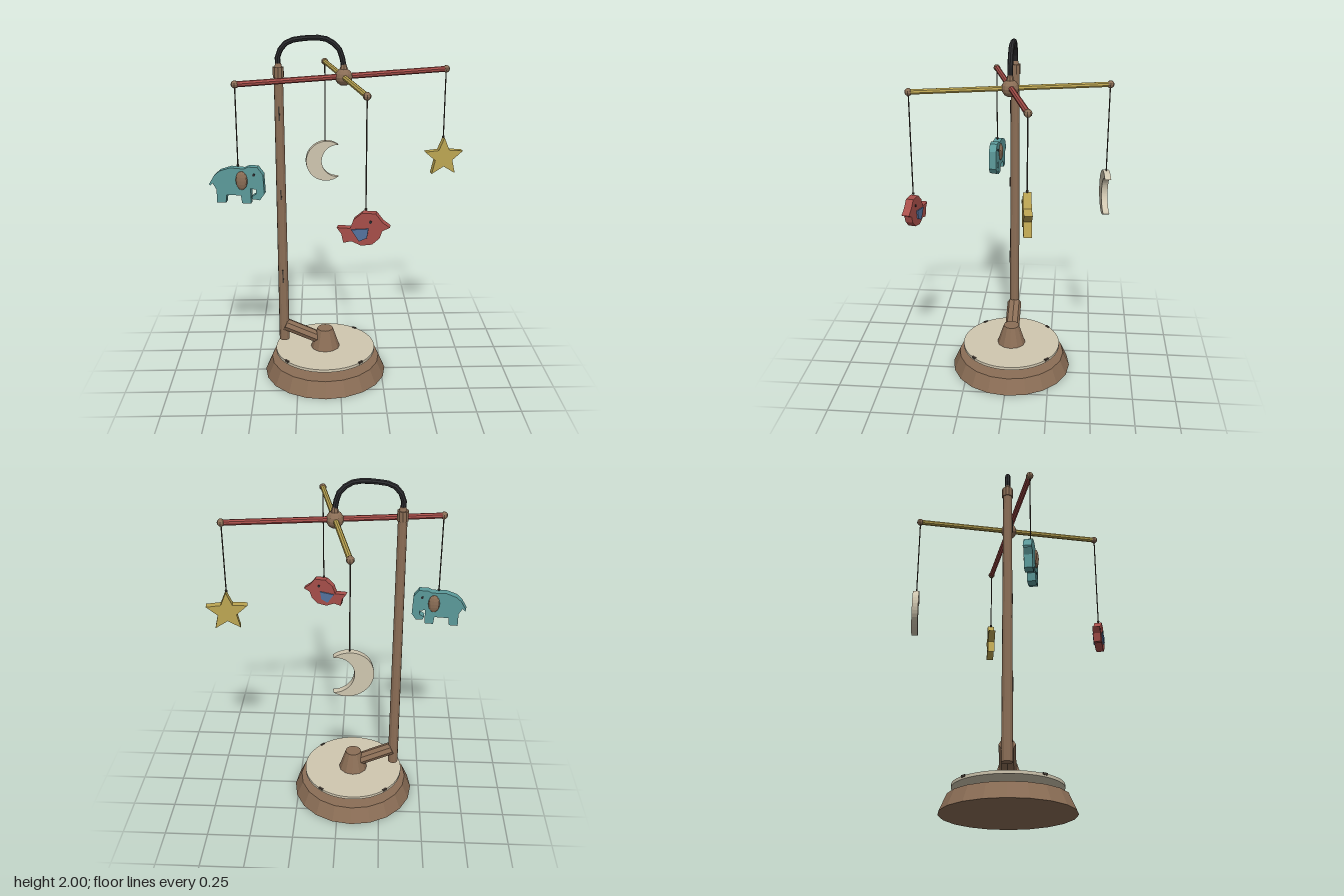
import * as THREE from 'three';

const mat = (name, color) => {
  const m = new THREE.MeshStandardMaterial({ color });
  m.name = name;
  return m;
};
const V = (x, y, z) => new THREE.Vector3(x, y, z);

export function createModel() {
  const model = new THREE.Group();
  model.name = 'hangingMobile';
  const wood = mat('wood', 0x8b6e56);
  const cream = mat('cream', 0xd0c7b0);
  const black = mat('black', 0x2b2b2e);
  const red = mat('red', 0xa84f4a);
  const yellow = mat('yellow', 0xbda653);
  const teal = mat('teal', 0x5c9b9b);
  const blue = mat('blue', 0x54739f);
  const thread = mat('thread', 0x443c34);

  // Faceted mesh with hard edges
  const add = (name, geo, material, parent = model) => {
    const g = geo.index ? geo.toNonIndexed() : geo;
    g.computeVertexNormals();
    const mesh = new THREE.Mesh(g, material);
    mesh.name = name;
    parent.add(mesh);
    return mesh;
  };
  // Upright tapered post from y0 to y1
  const post = (name, r0, r1, y0, y1, sides, material, x, z) =>
    add(name, new THREE.CylinderGeometry(r1, r0, y1 - y0, sides), material).position.set(x, (y0 + y1) / 2, z);
  // Rod between two points
  const rod = (name, a, b, r, sides, material) => {
    const m = add(name, new THREE.CylinderGeometry(r, r, a.distanceTo(b), sides), material);
    m.position.copy(a).lerp(b, 0.5);
    m.quaternion.setFromUnitVectors(V(0, 1, 0), b.clone().sub(a).normalize());
    return m;
  };
  const ball = (name, p, r, material, w = 10, h = 7) =>
    add(name, new THREE.SphereGeometry(r, w, h), material).position.copy(p);

  const Z = -0.012, BX = -0.087, PX = -0.332, HX = 0.022;

  // Base, floating disc and socket
  post('base', 0.362, 0.322, 0, 0.09, 20, wood, BX, Z);
  post('disc', 0.296, 0.296, 0.135, 0.152, 48, cream, BX, Z);
  post('socket', 0.086, 0.047, 0.152, 0.27, 12, wood, BX, Z);
  for (const a of [0.8, 2.45, 3.98, 5.4]) {
    const peg = add('discPeg', new THREE.BoxGeometry(0.012, 0.012, 0.03), thread);
    peg.position.set(BX + 0.292 * Math.cos(a), 0.15, Z + 0.292 * Math.sin(a));
    peg.rotation.y = -a;
  }

  // Sloping arm to the pole
  rod('arm', V(-0.325, 0.3, Z), V(-0.125, 0.208, Z), 0.035, 8, wood).scale.z = 1.25;

  // Pole, collar and inlaid marks
  post('pole', 0.03, 0.025, 0.205, 1.79, 12, wood, PX, Z);
  post('collar', 0.031, 0.031, 1.78, 1.835, 10, wood, PX, Z);
  post('collarTip', 0.022, 0.016, 1.835, 1.855, 10, wood, PX, Z);
  for (const [y, h] of [[1.585, 0.08], [1.12, 0.06], [0.62, 0.08]])
    add('poleMark', new THREE.BoxGeometry(0.008, h, 0.006), thread).position.set(PX, y, Z + 0.028);

  // Curved hook
  const hook = new THREE.CatmullRomCurve3([
    [PX, 1.84], [PX, 1.9], [-0.285, 1.965], [-0.2, 1.986], [-0.07, 1.982], [0.0, 1.925], [HX, 1.84],
  ].map(([x, y]) => V(x, y, Z)));
  add('hook', new THREE.TubeGeometry(hook, 12, 0.015, 8), black);

  // Hub and crossed bars
  post('hubTip', 0.026, 0.014, 1.81, 1.85, 8, wood, HX, Z);
  ball('hub', V(HX, 1.78, Z), 0.048, wood, 12, 8);
  const ends = {
    elephant: V(-0.557, 1.763, 0.115), star: V(0.599, 1.802, -0.142),
    moon: V(-0.077, 1.788, -0.546), bird: V(0.119, 1.772, 0.519),
  };
  rod('redBar', ends.elephant, ends.star, 0.016, 8, red);
  rod('yellowBar', ends.moon, ends.bird, 0.015, 8, yellow);

  // Hanging string with an ornament group at its lower end
  const hang = (name, bottom, turn) => {
    const top = ends[name], low = V(top.x, bottom, top.z);
    ball('barTip', top, 0.021, wood, 8, 6);
    rod('string', top, low, 0.0035, 5, thread);
    ball('bead', low.clone().add(V(0, 0.005, 0)), 0.008, thread, 6, 4);
    const g = new THREE.Group();
    g.name = name;
    g.position.copy(low);
    g.rotation.y = turn;
    model.add(g);
    return g;
  };
  const shapeOf = pts => new THREE.Shape(pts.map(([x, y]) => new THREE.Vector2(x, y)));
  const slab = (name, shape, depth, material, parent, z = 0) =>
    add(name, new THREE.ExtrudeGeometry(shape, { depth, bevelEnabled: false, curveSegments: 14 })
      .translate(0, 0, z - depth / 2), material, parent);
  const eyes = (x, y, half, parent) => {
    for (const s of [-1, 1]) {
      const e = add('eye', new THREE.CylinderGeometry(0.008, 0.008, 0.006, 8), black, parent);
      e.rotation.x = Math.PI / 2;
      e.position.set(x, y, s * half);
    }
  };

  // Elephant with an ear on each side
  const elephant = hang('elephant', 1.318, -0.12);
  slab('elephantBody', shapeOf([
    [-0.16, -0.1], [-0.13, -0.05], [-0.1, -0.025], [-0.04, -0.005], [0.035, -0.01], [0.06, 0.002],
    [0.11, 0], [0.14, -0.04], [0.145, -0.15], [0.12, -0.185], [0.08, -0.18], [0.075, -0.165],
    [0.1, -0.15], [0.1, -0.125], [0.07, -0.12], [0.07, -0.205], [0.02, -0.205], [0.015, -0.16],
    [-0.065, -0.16], [-0.07, -0.205], [-0.12, -0.205], [-0.12, -0.13], [-0.14, -0.095], [-0.155, -0.11],
  ]), 0.045, teal, elephant);
  for (const s of [-1, 1]) {
    const ear = add('ear', new THREE.SphereGeometry(1, 12, 8), wood, elephant);
    ear.scale.set(0.033, 0.053, 0.016);
    ear.position.set(0.022, -0.075, s * 0.024);
  }
  eyes(0.09, -0.042, 0.023, elephant);

  // Five-pointed star
  const star = hang('star', 1.41, 0.12);
  slab('starBody', shapeOf(Array.from({ length: 10 }, (_, i) => {
    const a = Math.PI / 2 + i * Math.PI / 5, r = i % 2 ? 0.053 : 0.117;
    return [0.003 + r * Math.cos(a), -0.115 + r * Math.sin(a)];
  })), 0.042, yellow, star);

  // Crescent moon
  const moon = hang('moon', 1.285, 0.11);
  const crescent = new THREE.Shape();
  crescent.absarc(0.005, -0.116, 0.128, 0.925, Math.PI * 2 - 0.925, false);
  crescent.absarc(0.078, -0.116, 0.103, -1.57, -4.71, true);
  slab('moonBody', crescent, 0.035, cream, moon);

  // Bird with a wing on each side
  const bird = hang('bird', 1.195, -0.2);
  slab('birdBody', shapeOf([
    [-0.06, -0.048], [-0.016, -0.01], [0.053, -0.01], [0.087, -0.053], [0.125, -0.08], [0.087, -0.1],
    [0.075, -0.138], [0.037, -0.175], [-0.02, -0.185], [-0.07, -0.164], [-0.112, -0.175],
    [-0.122, -0.127], [-0.146, -0.095], [-0.077, -0.095],
  ]), 0.043, red, bird);
  const wing = shapeOf([[-0.07, -0.1], [0.018, -0.09], [0.01, -0.14], [-0.03, -0.16]]);
  for (const s of [-1, 1]) slab('wing', wing, 0.009, blue, bird, s * 0.025);
  eyes(0.027, -0.055, 0.022, bird);

  return model;
}
